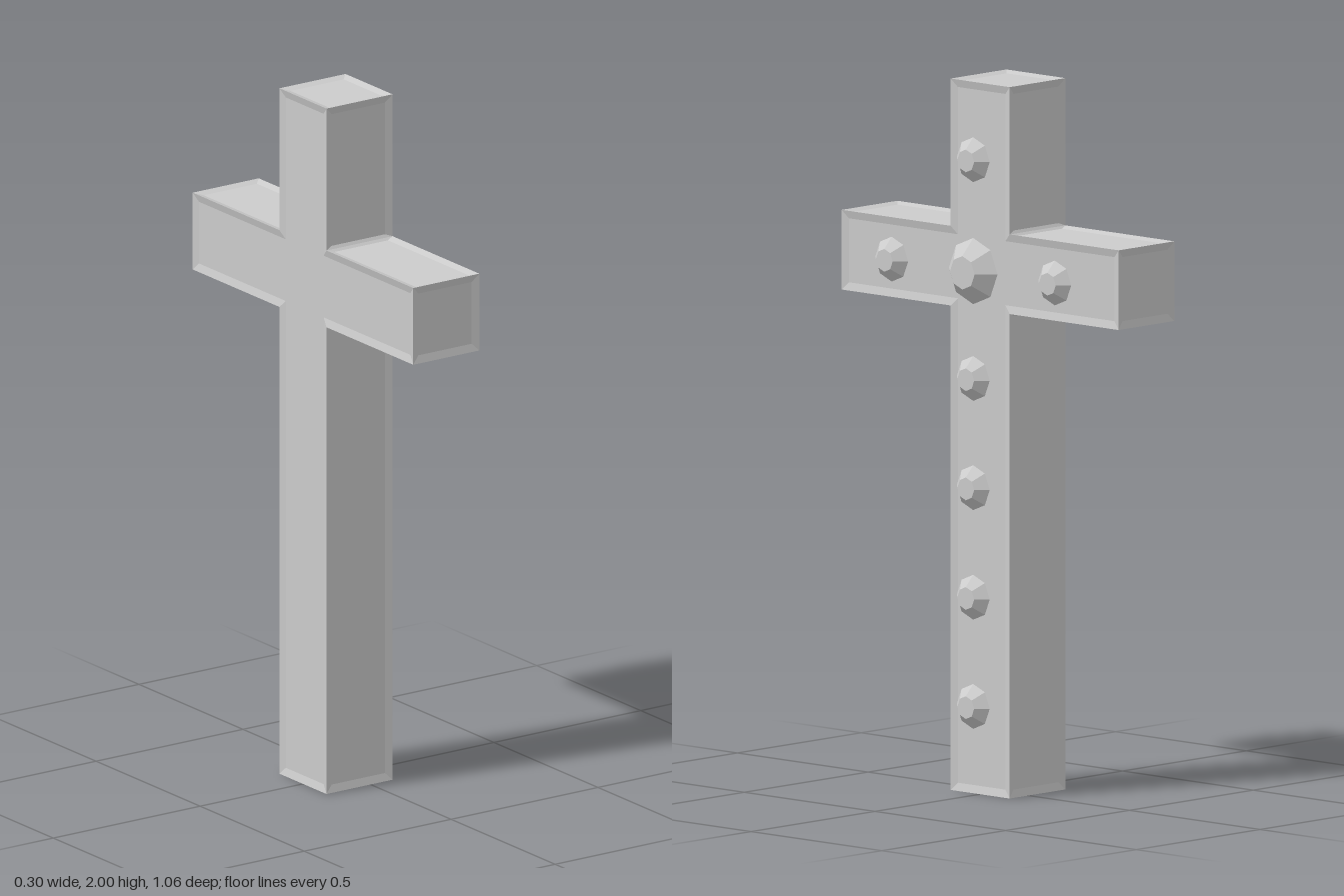
import * as THREE from 'three';
import { mergeGeometries } from 'three/addons/utils/BufferGeometryUtils.js';

const BACK = -0.15, FRONT = 0.075;   // thickness of the cross
const RIM = 0.022, SINK = 0.006;     // sloped rim around every sunken panel
const HALF = 0.113, ARM = 0.53, ARM_LOW = 1.362, ARM_TOP = 1.586, TOP = 2;

// Sunken panel facing +z: right-angled CCW outline, one rim width per edge
function panel(outline, rims) {
  const n = outline.length;
  const inward = outline.map((p, i) => {
    const q = outline[(i + 1) % n];
    const d = q.clone().sub(p).normalize();
    return new THREE.Vector2(-d.y, d.x).multiplyScalar(rims[i]);
  });
  const inner = outline.map((p, i) => p.clone().add(inward[i]).add(inward[(i + n - 1) % n]));
  const pos = [];
  const add = (p, z) => pos.push(p.x, p.y, z);
  for (let i = 0; i < n; i++) {
    const j = (i + 1) % n;
    add(outline[i], 0); add(outline[j], 0); add(inner[j], -SINK);
    add(outline[i], 0); add(inner[j], -SINK); add(inner[i], -SINK);
  }
  for (const face of THREE.ShapeUtils.triangulateShape(inner, [])) {
    for (const k of face) add(inner[k], -SINK);
  }
  const geo = new THREE.BufferGeometry();
  geo.setAttribute('position', new THREE.Float32BufferAttribute(pos, 3));
  geo.computeVertexNormals();
  return geo;
}

// Cross outline, counter-clockwise
const outline = [
  [-HALF, 0], [HALF, 0], [HALF, ARM_LOW], [ARM, ARM_LOW], [ARM, ARM_TOP], [HALF, ARM_TOP],
  [HALF, TOP], [-HALF, TOP], [-HALF, ARM_TOP], [-ARM, ARM_TOP], [-ARM, ARM_LOW], [-HALF, ARM_LOW],
].map(([x, y]) => new THREE.Vector2(x, y));
const concave = new Set([2, 5, 8, 11]);

function crossGeometry() {
  const rims = outline.map(() => RIM);
  const parts = [
    panel(outline, rims).translate(0, 0, FRONT),
    panel(outline, rims).rotateY(Math.PI).translate(0, 0, BACK),
  ];
  // Side panels, with a narrower rim where two meet in an inside corner
  outline.forEach((p, i) => {
    const j = (i + 1) % outline.length;
    const q = outline[j];
    const len = p.distanceTo(q);
    const d = q.clone().sub(p).normalize();
    const rect = [[0, BACK], [len, BACK], [len, FRONT], [0, FRONT]].map(([x, y]) => new THREE.Vector2(x, y));
    const end = k => (concave.has(k) ? 0.008 : RIM);
    const m = new THREE.Matrix4().makeBasis(
      new THREE.Vector3(d.x, d.y, 0), new THREE.Vector3(0, 0, 1), new THREE.Vector3(d.y, -d.x, 0));
    m.setPosition(p.x, p.y, 0);
    parts.push(panel(rect, [RIM, end(j), RIM, end(i)]).applyMatrix4(m));
  });
  return mergeGeometries(parts);
}

// Eight-sided cut gem: pointed back, wide girdle, flat table
function gemGeometry(apex, girdle, radius, table, tableRadius) {
  const profile = [[0, apex], [radius, girdle], [tableRadius, table], [0, table]];
  return new THREE.LatheGeometry(profile.map(([r, y]) => new THREE.Vector2(r, y)), 8).rotateX(Math.PI / 2);
}

export function createModel() {
  const group = new THREE.Group();
  group.name = 'jewelledCross';
  const material = new THREE.MeshStandardMaterial({ color: 0xcccccc, flatShading: true });

  // Built facing +z, then turned so the gems face +x
  const body = new THREE.Group();
  body.name = 'crossBody';
  body.rotation.y = Math.PI / 2;
  group.add(body);

  const add = (name, geo, x = 0, y = 0) => {
    const mesh = new THREE.Mesh(geo, material);
    mesh.name = name;
    mesh.position.set(x, y, 0);
    body.add(mesh);
  };

  add('cross', crossGeometry());
  add('centreGem', gemGeometry(0.02, 0.103, 0.093, 0.147, 0.047), 0, 1.474);
  const small = gemGeometry(0.075, 0.103, 0.063, 0.133, 0.032);
  [0.25, 0.557, 0.865, 1.172, 1.787].forEach((y, i) => add(`shaftGem${i + 1}`, small, 0, y));
  add('rightArmGem', small, -0.312, 1.474);
  add('leftArmGem', small, 0.312, 1.474);
  return group;
}
